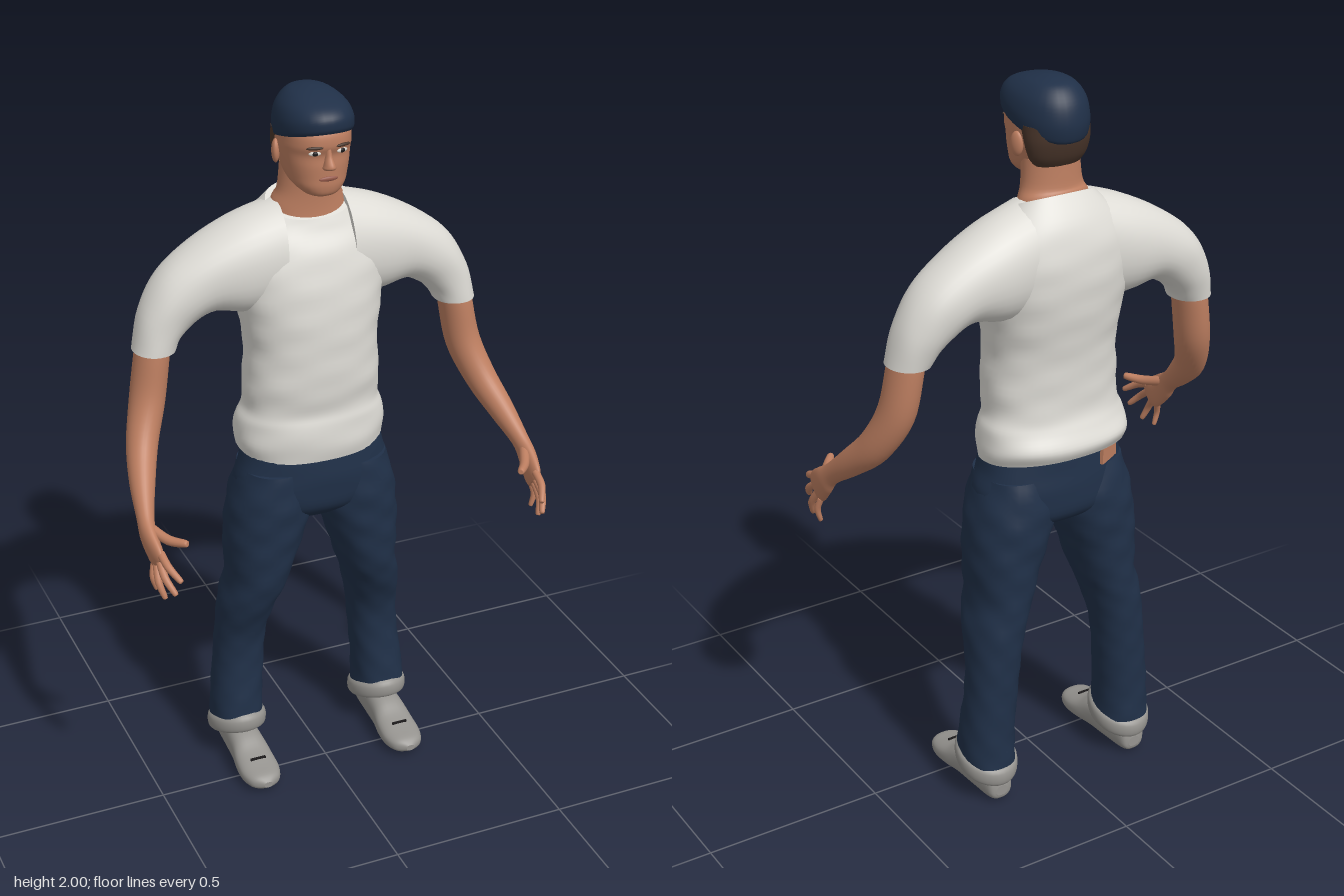
import * as THREE from 'three';

const mat = (name, color) => Object.assign(new THREE.MeshStandardMaterial({ color }), { name });
const SKIN = mat('skin', 0xbe7f61), SHIRT = mat('shirtWhite', 0xdedcd6), NAVY = mat('navyCloth', 0x203048);
const GREY = mat('shoeGrey', 0x969490), HAIR = mat('hairBrown', 0x49352a), DARK = mat('dark', 0x1d1b1c);
const LIP = mat('lip', 0x96594a), WHITE = mat('eyeWhite', 0xd8d4cc);

// Turns all faces outward, judged by the signed volume
function orient(geo) {
  const p = geo.attributes.position, id = geo.index.array;
  const [a, b, c] = [0, 1, 2].map(() => new THREE.Vector3());
  let vol = 0;
  for (let i = 0; i < id.length; i += 3) {
    a.fromBufferAttribute(p, id[i]); b.fromBufferAttribute(p, id[i + 1]); c.fromBufferAttribute(p, id[i + 2]);
    vol += a.dot(b.cross(c));
  }
  if (vol < 0) for (let i = 0; i < id.length; i += 3) [id[i], id[i + 1]] = [id[i + 1], id[i]];
  geo.computeVertexNormals();
  return geo;
}

// Catmull-Rom interpolation of rows of numbers
function refine(rows, k) {
  const out = [], last = rows.length - 1;
  const mix = (p, q, r, s, t) => {
    const c3 = 3 * (q - r) + s - p, c2 = 2 * p - 5 * q + 4 * r - s;
    return q + 0.5 * t * (r - p + t * (c2 + t * c3));
  };
  for (let i = 0; i < last; i++) {
    const [p, q, r, s] = [i - 1, i, i + 1, i + 2].map(j => rows[Math.min(last, Math.max(0, j))]);
    for (let n = 0; n < k; n++) out.push(q.map((_, m) => mix(p[m], q[m], r[m], s[m], n / k)));
  }
  out.push(rows[last]);
  return out;
}

// Skin over rings; each row is centre (3), half axis u (3), half axis v (3)
function loft(rows, { power = 2, seg = 32, steps = 5, fold = 0 } = {}) {
  const loops = refine(rows, steps), pos = [], idx = [];
  const se = v => Math.sign(v) * Math.abs(v) ** (2 / power);
  for (const r of loops) for (let j = 0; j < seg; j++) {
    const t = j / seg * Math.PI * 2;
    const f = 1 + fold * (Math.sin(3 * t + r[1] * 31) * Math.sin(r[1] * 47 + t) + 0.5 * Math.sin(5 * t - r[1] * 60));
    for (let m = 0; m < 3; m++) pos.push(r[m] + f * (se(Math.cos(t)) * r[3 + m] + se(Math.sin(t)) * r[6 + m]));
  }
  for (let i = 0; i < loops.length - 1; i++) for (let j = 0; j < seg; j++) {
    const a = i * seg + j, b = i * seg + (j + 1) % seg;
    idx.push(a, b, a + seg, b, b + seg, a + seg);
  }
  for (const i of [0, loops.length - 1]) { // end caps with their own vertices
    const base = pos.length / 3;
    pos.push(...pos.slice(i * seg * 3, (i + 1) * seg * 3), ...loops[i].slice(0, 3));
    for (let j = 0; j < seg; j++) {
      const a = base + j, b = base + (j + 1) % seg;
      idx.push(...(i ? [a, b, base + seg] : [b, a, base + seg]));
    }
  }
  const geo = new THREE.BufferGeometry();
  geo.setAttribute('position', new THREE.Float32BufferAttribute(pos, 3));
  geo.setIndex(idx);
  return orient(geo);
}

// Upright ring: height, half width, front z, back z, rise of the front edge
const ring = (y, hx, zf, zb, tilt = 0, x = 0) => [x, y, (zf + zb) / 2, hx, 0, 0, 0, tilt, (zf - zb) / 2];
const rings = list => list.map(r => ring(...r));

// Limb with rings square to its path: rows of x, y, z, radius across, radius deep
function limb(pts, opts) {
  const P = pts.map(p => new THREE.Vector3(...p.slice(0, 3)));
  return loft(pts.map((p, i) => {
    const t = P[Math.min(i + 1, P.length - 1)].clone().sub(P[Math.max(i - 1, 0)]).normalize();
    const u = new THREE.Vector3(1, 0, 0).addScaledVector(t, -t.x).normalize();
    const v = t.clone().cross(u);
    return [...P[i], ...u.multiplyScalar(p[3]), ...v.multiplyScalar(p[4])];
  }), opts);
}

export function createModel() {
  const model = new THREE.Group();
  model.name = 'standingMan';
  const add = (name, geo, material) => {
    const m = new THREE.Mesh(geo, material);
    m.name = name;
    model.add(m);
    return m;
  };
  const pair = (name, geo, material) => {
    add('left' + name, geo, material);
    add('right' + name, orient(geo.clone().scale(-1, 1, 1)), material);
  };
  const blob = (x, y, z, a, b, c, turn = 0) =>
    new THREE.SphereGeometry(1, 20, 14).scale(a, b, c).rotateY(turn).translate(x, y, z);

  // Shirt body
  add('shirtBody', loft(rings([
    [1.0, 0.205, 0.02, -0.255, -0.015], [1.04, 0.211, 0.028, -0.27, -0.008], [1.09, 0.203, 0.025, -0.25],
    [1.13, 0.188, 0.02, -0.237], [1.2, 0.187, 0.03, -0.235], [1.3, 0.181, 0.032, -0.24],
    [1.4, 0.195, 0.03, -0.255], [1.5, 0.21, 0.018, -0.264], [1.58, 0.2, -0.005, -0.258],
    [1.64, 0.165, -0.033, -0.235, -0.01], [1.688, 0.113, -0.045, -0.19, -0.03],
  ]), { power: 2.3, seg: 48, fold: 0.009 }), SHIRT);

  // Sleeves: top x, y, bottom x, y, centre z, half depth
  pair('Sleeve', loft([
    [0.09, 1.7, 0.1, 1.4, -0.125, 0.115], [0.2, 1.664, 0.19, 1.405, -0.132, 0.113],
    [0.31, 1.607, 0.27, 1.42, -0.136, 0.1], [0.405, 1.535, 0.325, 1.395, -0.137, 0.087],
    [0.462, 1.44, 0.36, 1.362, -0.133, 0.074], [0.488, 1.338, 0.375, 1.335, -0.125, 0.064],
  ].map(([tx, ty, bx, by, z, d]) =>
    [(tx + bx) / 2, (ty + by) / 2, z, (tx - bx) / 2, (ty - by) / 2, 0, 0, 0, d]), { power: 2.15, fold: 0.008 }), SHIRT);

  // Trousers
  add('trouserSeat', loft(rings([
    [1.04, 0.192, 0.012, -0.215], [0.97, 0.205, 0.02, -0.222], [0.9, 0.222, 0.022, -0.228],
    [0.83, 0.2, 0.01, -0.22], [0.785, 0.1, -0.04, -0.16],
  ]), { power: 2.3, fold: 0.006 }), NAVY);
  pair('TrouserLeg', loft([
    [0.95, 0.095, 0.01, -0.21, 0.113], [0.86, 0.112, 0.02, -0.23, 0.122], [0.78, 0.112, 0.018, -0.232, 0.133],
    [0.7, 0.1, 0.012, -0.228, 0.15], [0.6, 0.083, 0.0, -0.225, 0.165], [0.52, 0.078, -0.025, -0.226, 0.188],
    [0.42, 0.07, -0.062, -0.225, 0.202], [0.32, 0.07, -0.07, -0.222, 0.21], [0.2, 0.073, -0.06, -0.22, 0.221],
    [0.11, 0.075, -0.05, -0.225, 0.223],
  ].map(([y, hx, zf, zb, x]) => ring(y, hx, zf, zb, 0, x)), { power: 2.2, fold: 0.022 }), NAVY);

  // Bare strip of skin below the back hem
  const strip = add('waistSkin', new THREE.BoxGeometry(0.075, 0.06, 0.009), SKIN);
  strip.position.set(-0.125, 0.985, -0.203);
  strip.rotation.y = Math.PI + 0.5;

  // Turned cuffs and shoes
  pair('Cuff', loft([
    [0.08, 0.07], [0.088, 0.08], [0.108, 0.083], [0.126, 0.08], [0.136, 0.07],
  ].map(([y, h]) => ring(y, h, -0.137 + h * 1.17, -0.137 - h * 1.17, 0.026, 0.222)), { steps: 3 }), GREY);
  pair('Shoe', loft([
    [-0.22, 0.018, 0.02, 0.05], [-0.205, 0.038, 0.004, 0.09], [-0.12, 0.046, 0, 0.11], [-0.05, 0.05, 0, 0.102],
    [0, 0.056, 0, 0.076], [0.05, 0.056, 0.002, 0.061], [0.09, 0.042, 0.008, 0.052], [0.11, 0.012, 0.02, 0.038],
  ].map(([z, h, b, t]) => [0.222, (t + b) / 2, z, h, 0, 0, 0, (t - b) / 2, 0]), { power: 2.5 }), GREY);
  pair('ShoeSeam', new THREE.BoxGeometry(0.045, 0.006, 0.006).translate(0.222, 0.067, 0.03), DARK);

  // Arms, palms and fingers
  pair('Arm', limb([
    [0.425, 1.4, -0.125, 0.045, 0.05], [0.438, 1.32, -0.123, 0.046, 0.056], [0.46, 1.2, -0.11, 0.047, 0.054],
    [0.495, 1.1, -0.06, 0.042, 0.047], [0.523, 1.03, 0.015, 0.034, 0.038], [0.543, 0.97, 0.09, 0.023, 0.029],
    [0.548, 0.935, 0.128, 0.021, 0.038], [0.544, 0.9, 0.17, 0.017, 0.044], [0.542, 0.884, 0.187, 0.011, 0.036],
  ]), SKIN);
  const finger = (name, a, b, c, r) => pair(name, limb([
    [...a, r, r], [...b, r * 0.95, r * 0.95], [...c.map((v, i) => v * 0.9 + b[i] * 0.1), r * 0.7, r * 0.7],
    [...c, r * 0.2, r * 0.2]], { seg: 12, steps: 4 }), SKIN);
  finger('IndexFinger', [0.54, 0.918, 0.195], [0.535, 0.9, 0.24], [0.515, 0.874, 0.28], 0.011);
  finger('MiddleFinger', [0.542, 0.9, 0.185], [0.543, 0.867, 0.23], [0.526, 0.83, 0.266], 0.011);
  finger('RingFinger', [0.545, 0.882, 0.172], [0.551, 0.84, 0.202], [0.54, 0.797, 0.22], 0.0105);
  finger('LittleFinger', [0.547, 0.868, 0.155], [0.554, 0.835, 0.165], [0.545, 0.797, 0.166], 0.009);
  finger('Thumb', [0.542, 0.955, 0.12], [0.513, 0.943, 0.178], [0.477, 0.948, 0.225], 0.014);

  // Neck and head
  add('neck', loft(rings([
    [1.64, 0.106, -0.045, -0.185, -0.03], [1.69, 0.1, -0.052, -0.182, -0.022],
    [1.73, 0.084, -0.05, -0.175], [1.8, 0.078, -0.04, -0.172],
  ])), SKIN);
  add('head', loft(rings([
    [1.734, 0.022, -0.005, -0.06], [1.744, 0.046, 0.013, -0.085], [1.765, 0.068, 0.02, -0.13],
    [1.79, 0.079, 0.021, -0.165], [1.82, 0.086, 0.022, -0.18], [1.85, 0.091, 0.021, -0.19],
    [1.878, 0.092, 0.03, -0.195], [1.915, 0.088, 0.022, -0.195], [1.95, 0.06, -0.02, -0.16],
  ]), { power: 2.3 }), SKIN);
  add('nose', loft([
    [1.872, 0.008, 0.028], [1.85, 0.009, 0.034], [1.83, 0.014, 0.047], [1.82, 0.017, 0.045], [1.813, 0.011, 0.026],
  ].map(([y, h, z]) => ring(y, h, z, 0.005)), { seg: 16 }), SKIN);
  pair('Ear', blob(0.094, 1.838, -0.1, 0.011, 0.032, 0.019, 0.35), SKIN);
  pair('EyeWhite', blob(0.037, 1.861, 0.0205, 0.016, 0.006, 0.0045, 0.25), WHITE);
  pair('Iris', blob(0.037, 1.861, 0.0225, 0.008, 0.006, 0.004, 0.25), DARK);
  pair('Eyebrow', blob(0.039, 1.877, 0.0255, 0.022, 0.0045, 0.0045, 0.25), HAIR);
  add('lips', blob(0, 1.79, 0.021, 0.026, 0.0065, 0.0045), LIP);

  // Hair below the cap
  add('hair', loft(rings([
    [1.785, 0.066, -0.1, -0.172], [1.81, 0.082, -0.09, -0.187], [1.85, 0.091, -0.075, -0.198], [1.89, 0.092, -0.05, -0.2],
  ])), HAIR);

  // Flat cap with a short peak
  add('cap', loft(rings([
    [1.882, 0.09, 0.045, -0.2, 0.034], [1.893, 0.096, 0.051, -0.21, 0.036], [1.925, 0.096, 0.048, -0.216, 0.028],
    [1.96, 0.084, 0.025, -0.205, 0.013], [1.986, 0.058, -0.02, -0.175, 0.002], [1.997, 0.026, -0.065, -0.135],
    [2.0, 0.004, -0.095, -0.105],
  ]), { power: 2.15 }), NAVY);

  return model;
}
